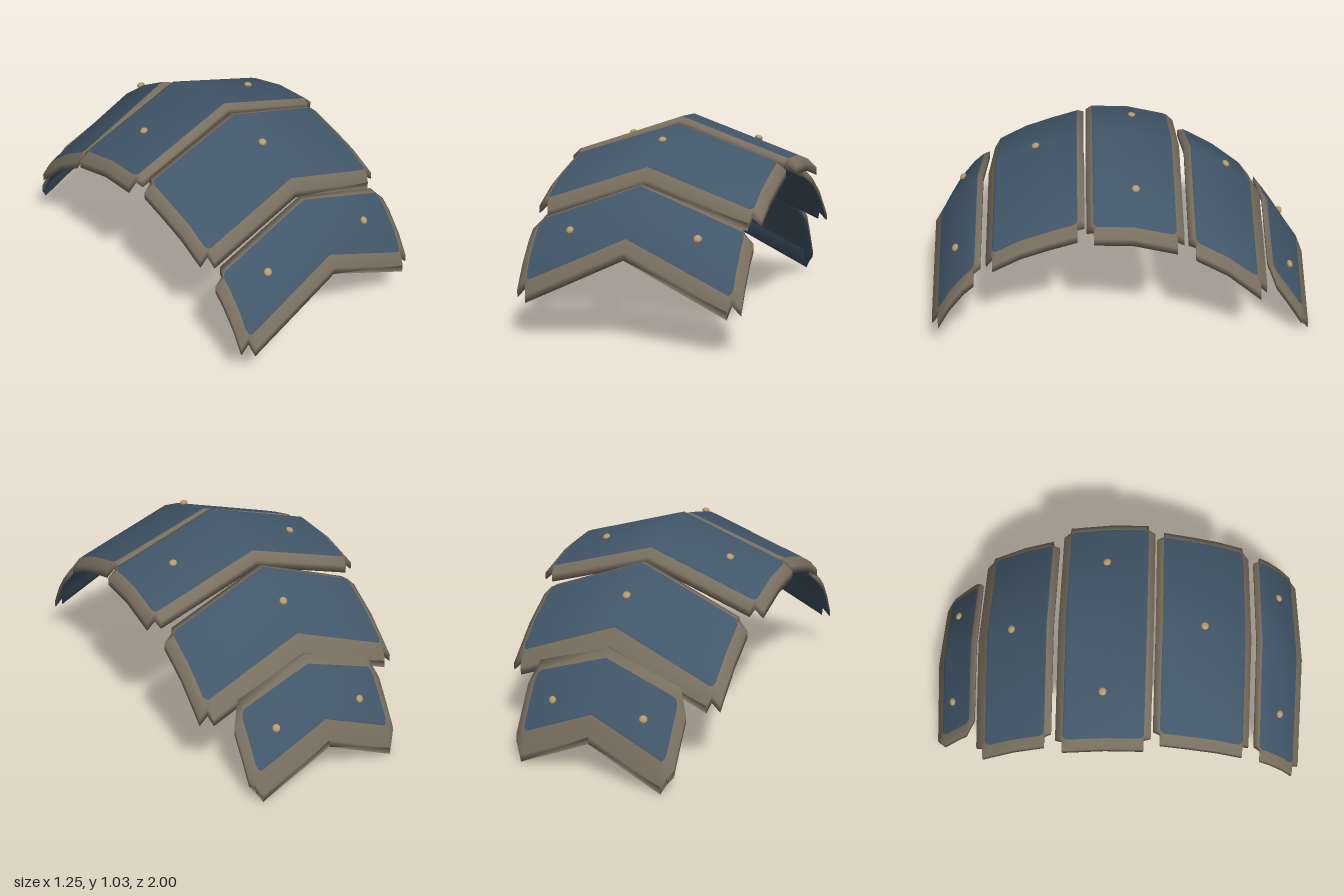
import * as THREE from 'three';

// Five overlapping plates, front to back: half width, ridge line as [z, y],
// sideways slope at the front and back edge, stud positions, corner style
const PLATES = [
  { name: 'frontPlate', W: 0.58, slope: [0.48, 0.36], studs: [[0.33, 0.865], [-0.33, 0.865]], notch: true,
    ridge: [[1, 0.47], [0.965, 0.53], [0.9, 0.63], [0.82, 0.715], [0.76, 0.755], [0.73, 0.762]] },
  { name: 'upperFrontPlate', W: 0.59, slope: [0.345, 0.32], studs: [[0, 0.445]], notch: true,
    ridge: [[0.7, 0.775], [0.665, 0.835], [0.52, 0.91], [0.37, 0.96], [0.23, 1.0], [0.195, 0.995]] },
  { name: 'crownPlate', W: 0.625, slope: [0.34, 0.34], studs: [[0.355, -0.065], [-0.355, -0.065]], notch: true,
    ridge: [[0.185, 1.01], [0.15, 1.03], [-0.05, 1.022], [-0.265, 0.97], [-0.305, 0.93]] },
  { name: 'upperBackPlate', W: 0.58, slope: [0.42, 0.43], studs: [[0, -0.55]], notch: true,
    ridge: [[-0.33, 0.92], [-0.365, 0.922], [-0.53, 0.825], [-0.69, 0.695], [-0.745, 0.615]] },
  { name: 'backPlate', W: 0.44, slope: [0.36, 0.487], studs: [[0.25, -0.89], [-0.25, -0.89]], notch: false,
    ridge: [[-0.757, 0.61], [-0.79, 0.57], [-0.87, 0.465], [-0.96, 0.335], [-1, 0.23]] },
];
const RIM = 0.045, THICK = 0.04;

// Height of a plate's top surface: ridge line, sloped sides, extra droop at the rim
function heightOf(p, x, z) {
  const r = p.ridge, n = r.length;
  let i = 0;
  while (i < n - 2 && z < r[i + 1][0]) i++;
  const y = THREE.MathUtils.mapLinear(z, r[i][0], r[i + 1][0], r[i][1], r[i + 1][1]);
  const s = THREE.MathUtils.mapLinear(z, r[0][0], r[n - 1][0], p.slope[0], p.slope[1]);
  const ax = Math.abs(x);
  return y - s * ax - Math.max(0, ax - (p.W - RIM)) * 0.6;
}

// Outline as rows of [z, half width]; corner lists [inward z, inward x] steps
function outlineRows(zFront, zBack, w, corner, middle) {
  return [
    ...corner.map(([dz, dx]) => [zFront - dz, w - dx]),
    ...middle.map((z) => [z, w]),
    ...corner.slice().reverse().map(([dz, dx]) => [zBack + dz, w - dx]),
  ];
}

function plateGeometry(p) {
  const r = p.ridge, n = r.length;
  const middle = r.slice(2, n - 2).map((q) => q[0]);
  const outerCorner = p.notch ? [[0, 0.06], [0.035, 0.045], [0.036, 0]] : [[0, 0.05], [0.025, 0.025], [0.05, 0]];
  const inner = outlineRows(r[1][0], r[n - 2][0], p.W - RIM, [[0, 0.02], [0.008, 0.007], [0.022, 0]], middle);
  const outer = outlineRows(r[0][0], r[n - 1][0], p.W, outerCorner, middle);
  const rows = inner.length, layer = rows * 3, pos = [];

  // Layers: top face, rim edge, lower edge, underside
  for (const [outline, drop] of [[inner, 0], [outer, 0], [outer, THICK], [inner, THICK + 0.005]]) {
    for (const [z, w] of outline) {
      for (const x of [-w, 0, w]) pos.push(x, heightOf(p, x, z) - drop, z);
    }
  }

  const index = [];
  const quad = (a, b, c, d) => index.push(a, b, c, a, c, d);

  // Perimeter of one layer
  const loop = [0, 1];
  for (let i = 0; i < rows; i++) loop.push(i * 3 + 2);
  loop.push((rows - 1) * 3 + 1);
  for (let i = rows - 1; i > 0; i--) loop.push(i * 3);

  // Rim bevel and side wall, then the turned-under lip
  const band = (a, b) => loop.forEach((v, i) => {
    const w = loop[(i + 1) % loop.length];
    quad(b * layer + v, b * layer + w, a * layer + w, a * layer + v);
  });
  band(0, 1);
  band(1, 2);
  const rimEnd = index.length;
  band(2, 3);

  // Top face and underside
  for (let i = 0; i < rows - 1; i++) {
    for (let j = 0; j < 2; j++) {
      const a = i * 3 + j, u = 3 * layer + a;
      quad(a, a + 1, a + 4, a + 3);
      quad(u, u + 3, u + 4, u + 1);
    }
  }

  const g = new THREE.BufferGeometry();
  g.setAttribute('position', new THREE.Float32BufferAttribute(pos, 3));
  g.setIndex(index);
  g.addGroup(0, rimEnd, 0);
  g.addGroup(rimEnd, index.length - rimEnd, 1);
  g.computeVertexNormals();
  return g;
}

export function createModel() {
  const material = (name, color) => Object.assign(new THREE.MeshStandardMaterial({ color }), { name });
  const rimTan = material('rimTan', 0x7a7060);
  const plateBlue = material('plateBlue', 0x42576a);
  const studBrass = material('studBrass', 0xb89c6c);

  const model = new THREE.Group();
  model.name = 'segmentedArmour';
  const studGeometry = new THREE.SphereGeometry(0.022, 8, 6).scale(1, 0.65, 1);
  const up = new THREE.Vector3(0, 1, 0);

  for (const p of PLATES) {
    const group = new THREE.Group();
    group.name = p.name;
    const plate = new THREE.Mesh(plateGeometry(p), [rimTan, plateBlue]);
    plate.name = 'plate';
    group.add(plate);

    // Studs stand along the surface normal
    for (const [x, z] of p.studs) {
      const e = 0.02;
      const normal = new THREE.Vector3(
        heightOf(p, x - e, z) - heightOf(p, x + e, z), 2 * e,
        heightOf(p, x, z - e) - heightOf(p, x, z + e)).normalize();
      const stud = new THREE.Mesh(studGeometry, studBrass);
      stud.name = 'stud';
      stud.position.set(x, heightOf(p, x, z), z).addScaledVector(normal, 0.008);
      stud.quaternion.setFromUnitVectors(up, normal);
      group.add(stud);
    }
    model.add(group);
  }
  return model;
}
